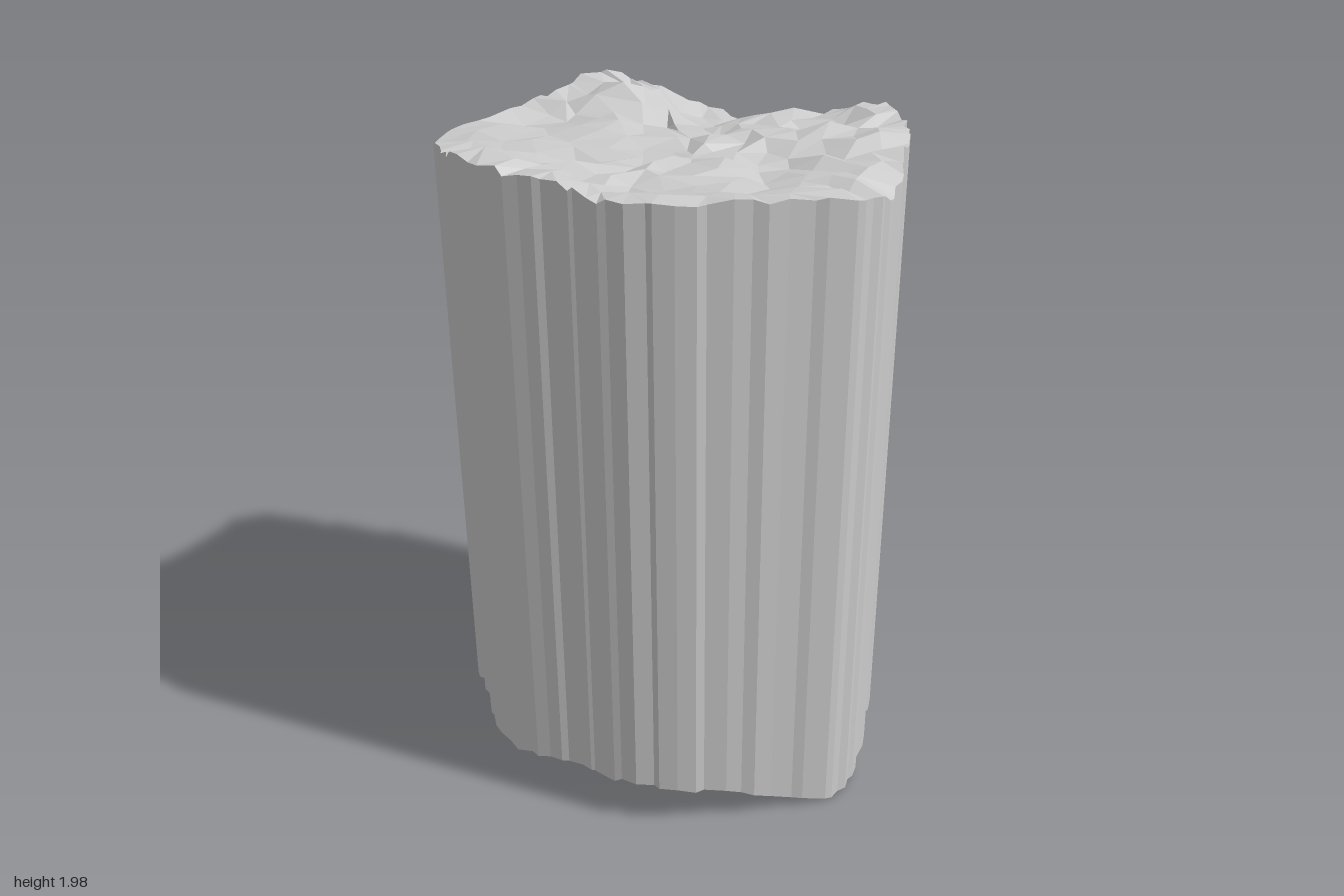
import * as THREE from 'three';

// Small seeded random in -1..1
function seeded(seed) {
  let s = seed;
  return () => {
    s = (s * 16807) % 2147483647;
    return (s / 2147483647) * 2 - 1;
  };
}

// Outline control points, counter-clockwise from above: x, z, top height, bottom height
const OUTLINE = [
  [-0.02, 0.62, 1.91, 0.01], [0.06, 0.605, 1.88, 0.03], [0.16, 0.57, 1.91, 0.075], [0.23, 0.525, 1.95, 0.085],
  [0.29, 0.505, 1.95, 0.08], [0.375, 0.455, 1.96, 0.08], [0.44, 0.39, 1.96, 0.06], [0.515, 0.305, 1.97, 0.045],
  [0.56, 0.225, 1.95, 0.05], [0.575, 0.13, 1.92, 0.06], [0.6, 0.02, 1.87, 0.06], [0.583, -0.06, 1.85, 0.06],
  [0.545, -0.15, 1.82, 0.06], [0.51, -0.22, 1.84, 0.07], [0.475, -0.31, 1.87, 0.08], [0.425, -0.41, 1.91, 0.1],
  [0.385, -0.5, 1.94, 0.13], [0.36, -0.56, 1.96, 0.14], [0.24, -0.62, 1.97, 0.16], [0.11, -0.603, 1.95, 0.2],
  [0, -0.59, 1.95, 0.2], [-0.17, -0.6, 1.93, 0.14], [-0.3, -0.62, 1.92, 0.09], [-0.39, -0.6, 1.9, 0.1],
  [-0.435, -0.52, 1.91, 0.11], [-0.5, -0.43, 1.93, 0.12], [-0.56, -0.345, 1.97, 0.11], [-0.6, -0.21, 1.97, 0.11],
  [-0.57, -0.1, 1.96, 0.12], [-0.545, 0.01, 1.96, 0.13], [-0.55, 0.11, 1.94, 0.14], [-0.53, 0.21, 1.94, 0.15],
  [-0.465, 0.315, 1.94, 0.14], [-0.36, 0.415, 1.95, 0.12], [-0.25, 0.5, 1.94, 0.07], [-0.11, 0.605, 1.92, 0.02],
];
// Interior height hints for the two broken ends: x, z, height
const TOP_HINTS = [
  [0.25, 0.27, 1.97], [0.24, -0.43, 1.99], [-0.3, -0.22, 1.87], [-0.36, -0.45, 1.91], [0, 0, 1.92],
  [-0.05, 0.3, 1.91], [0.4, 0.08, 1.94], [0.36, -0.22, 1.88], [-0.32, 0.01, 1.93], [-0.32, 0.15, 1.91],
  [0, -0.4, 1.92], [-0.52, -0.25, 1.98],
];
const BOTTOM_HINTS = [
  [0.48, 0.05, 0.01], [0, 0, 0.08], [-0.3, -0.2, 0.11], [0, 0.35, 0.06], [0.25, -0.35, 0.12],
  [0.4, 0.2, 0.025], [-0.3, 0.2, 0.12], [0.04, -0.4, 0.15],
];
// Middle of the shrinking rings
const RING_CENTER = [-0.06, 0.05];

// Rim with two jittered points between controls, giving vertical flutes
function makeRim() {
  const rnd = seeded(71);
  const rim = [];
  OUTLINE.forEach((a, i) => {
    const b = OUTLINE[(i + 1) % OUTLINE.length];
    rim.push(a);
    const rough = a[0] > 0.3 && a[1] < 0 ? 0.02 : 0.011;
    const side = Math.sign(rnd());
    for (const [base, sign] of [[0.36, side], [0.6, -side]]) {
      const t = base + 0.12 * rnd();
      const k = 1 + sign * rough * (0.5 + 0.5 * rnd());
      const mid = a.map((v, j) => v + (b[j] - v) * t);
      rim.push([mid[0] * k, mid[1] * k, mid[2] + 0.012 * rnd(), mid[3] + 0.006 * rnd()]);
    }
  });
  return rim;
}

// Inverse distance blend of known heights
function blendHeight(x, z, known) {
  let sum = 0, total = 0;
  for (const [kx, kz, h] of known) {
    const w = 1 / (Math.hypot(x - kx, z - kz) ** 3 + 1e-4);
    sum += w * h;
    total += w;
  }
  return sum / total;
}

// Broad slanting ripples across a broken end
function ripple(x, z) {
  return 0.009 * Math.sin(15 * z + 6 * x) + 0.007 * Math.sin(19 * x - 11 * z + 1);
}

function flatGeometry(triangles) {
  const geo = new THREE.BufferGeometry();
  geo.setAttribute('position', new THREE.Float32BufferAttribute(triangles.flat(2), 3));
  geo.computeVertexNormals();
  return geo;
}

// Rugged end: shrinking scattered rings with fewer points each, zipped together
function endGeometry(rim, column, hints, seed, roughness, up) {
  const rnd = seeded(seed);
  const known = rim.map((p) => [p[0], p[1], p[column]]).concat(hints);
  const rings = [rim.map((p, i) => ({ u: i / rim.length, v: [p[0], p[column], p[1]] }))];
  const counts = [54, 42, 34, 27, 20, 13, 6, 1];
  counts.forEach((n, r) => {
    const scale = 1 - (r + 1) / (counts.length - 0.4 * (n > 1));
    const scatter = n > 1 ? 0.02 : 0;
    const ring = [];
    for (let i = 0; i < n; i++) {
      const u = (i + 0.5 + 0.25 * rnd()) / n;
      const f = u * rim.length;
      const a = rim[Math.floor(f)], b = rim[(Math.floor(f) + 1) % rim.length];
      const [x, z] = RING_CENTER.map((c, k) =>
        c + scale * (a[k] + (b[k] - a[k]) * (f % 1) - c) + scatter * rnd());
      const y = blendHeight(x, z, known) + ripple(x, z) + roughness * rnd();
      ring.push({ u, v: [x, THREE.MathUtils.clamp(y, 0, 2), z] });
    }
    rings.push(ring);
  });

  const triangles = [];
  const add = (a, b, c) => triangles.push(up ? [a, b, c] : [a, c, b]);
  const at = (ring, i) => ring[i % ring.length].v;
  const pos = (ring, i) => ring[i % ring.length].u + Math.floor(i / ring.length);
  for (let r = 0; r + 1 < rings.length; r++) {
    const outer = rings[r], inner = rings[r + 1];
    const innerSteps = inner.length > 1 ? inner.length : 0;
    let i = 0, j = 0;
    while (i < outer.length || j < innerSteps) {
      const stepOuter = j >= innerSteps || (i < outer.length && pos(outer, i + 1) <= pos(inner, j + 1));
      if (stepOuter) {
        add(at(outer, i), at(outer, i + 1), at(inner, j));
        i++;
      } else {
        add(at(outer, i), at(inner, j + 1), at(inner, j));
        j++;
      }
    }
  }
  return flatGeometry(triangles);
}

// Straight fluted side wall
function wallGeometry(rim) {
  const triangles = [];
  rim.forEach((a, i) => {
    const b = rim[(i + 1) % rim.length];
    const [a0, a1, b0, b1] = [[a[0], a[3], a[1]], [a[0], a[2], a[1]], [b[0], b[3], b[1]], [b[0], b[2], b[1]]];
    triangles.push([a0, b0, b1], [a0, b1, a1]);
  });
  return flatGeometry(triangles);
}

export function createModel() {
  const group = new THREE.Group();
  group.name = 'brokenColumn';
  const material = new THREE.MeshStandardMaterial({ color: 0xcccccc, flatShading: true });
  const rim = makeRim();
  const addPart = (name, geometry) => {
    const mesh = new THREE.Mesh(geometry, material);
    mesh.name = name;
    group.add(mesh);
  };
  addPart('flutedWall', wallGeometry(rim));
  addPart('ruggedTop', endGeometry(rim, 2, TOP_HINTS, 1234, 0.016, true));
  addPart('ruggedBottom', endGeometry(rim, 3, BOTTOM_HINTS, 987, 0.01, false));
  return group;
}
